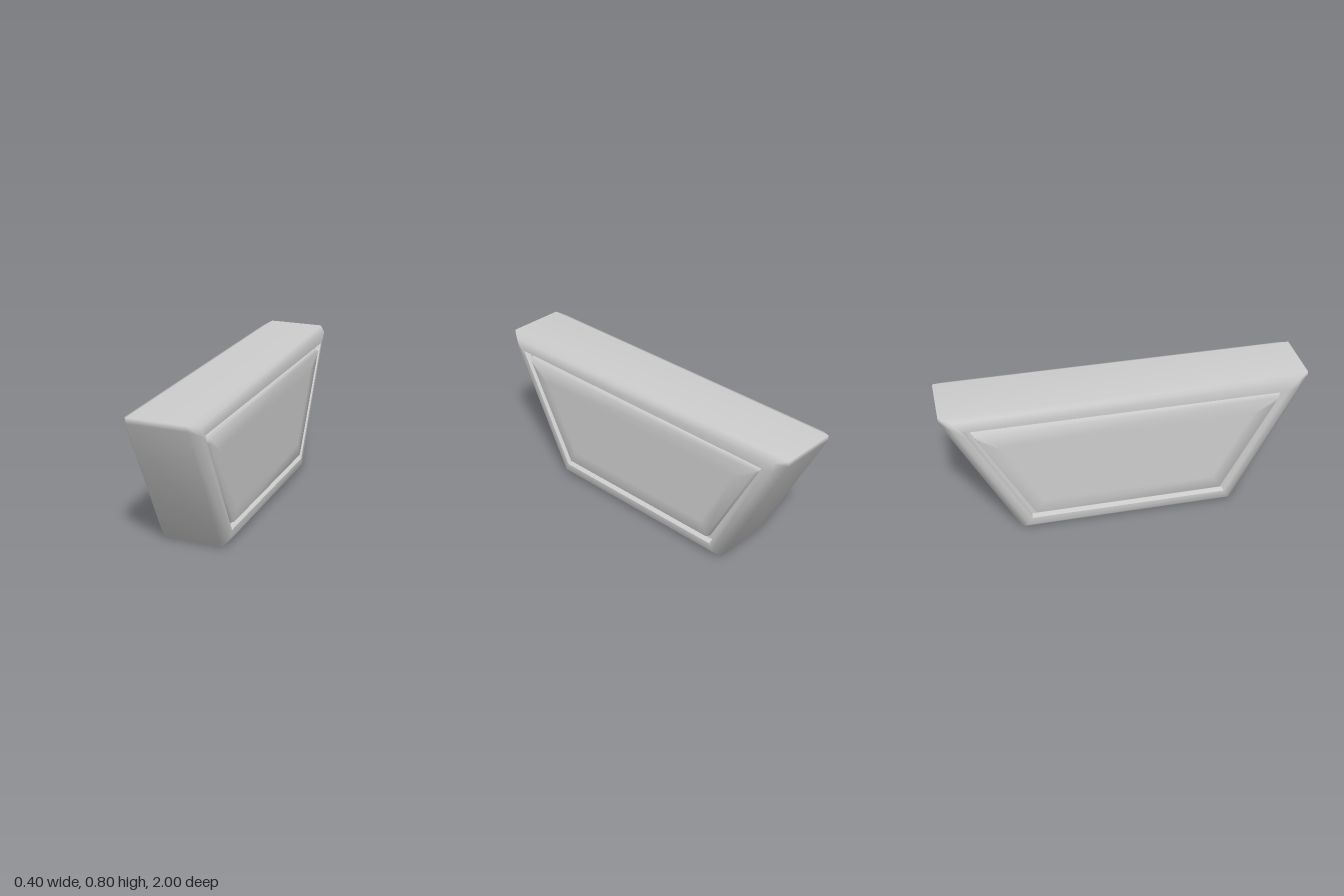
import * as THREE from 'three';

// Six-point cross-section in the y/z plane: top corner, point below it, bottom corner, then mirrored in z
function section(x, half) {
  const mirrored = half.map(([z, y]) => [-z, y]).reverse();
  return [...half, ...mirrored].map(([z, y]) => [x, y, z]);
}

// Symmetric trapezoid; its second point sits just below the top corner on the slanted side
function trapezoid(x, zTop, yTop, zBottom, yBottom) {
  const t = 0.06;
  const mid = [zTop + (zBottom - zTop) * t, yTop + (yBottom - yTop) * t];
  return section(x, [[zTop, yTop], mid, [zBottom, yBottom]]);
}

// Joins sections ordered from -x to +x; cap closes the last (1) or the first (-1)
function loft(name, rings, cap = 0, flat = false) {
  const n = rings[0].length;
  const points = rings.flat();
  const index = [];
  for (let k = 0; k < rings.length - 1; k++) {
    for (let i = 0; i < n; i++) {
      const j = (i + 1) % n;
      const a = k * n, b = a + n;
      index.push(a + i, a + j, b + j, a + i, b + j, b + i);
    }
  }
  if (cap) {
    const start = cap > 0 ? (rings.length - 1) * n : 0;
    for (let i = 1; i < n - 1; i++) {
      if (cap > 0) index.push(start, start + i, start + i + 1);
      else index.push(start, start + i + 1, start + i);
    }
  }
  let geometry = new THREE.BufferGeometry();
  geometry.setAttribute('position', new THREE.Float32BufferAttribute(points.flat(), 3));
  geometry.setIndex(index);
  if (flat) geometry = geometry.toNonIndexed();
  geometry.computeVertexNormals();
  const mesh = new THREE.Mesh(geometry, new THREE.MeshStandardMaterial({ color: 0xcccccc }));
  mesh.name = name;
  return mesh;
}

export function createModel() {
  const group = new THREE.Group();
  group.name = 'trapezoidBlock';

  const face = 0.2, floor = 0.17;
  const grooveEdge = s => trapezoid(s * face, 0.885, 0.72, 0.55, 0.085);
  const floorOuter = s => trapezoid(s * floor, 0.872, 0.712, 0.545, 0.093);
  const floorInner = s => trapezoid(s * floor, 0.845, 0.693, 0.53, 0.112);
  const panelRim = s => trapezoid(s * face, 0.83, 0.685, 0.525, 0.12);
  const panelField = s => trapezoid(s * face, 0.69, 0.59, 0.48, 0.2);

  // Outer body with bevelled edges and a flat frame on both sides
  const frame = s => section(s * face, [[0.94, 0.78], [0.93, 0.73], [0.57, 0.04]]);
  const bevel = s => section(s * 0.16, [[1, 0.8], [1, 0.77], [0.6, 0]]);
  group.add(loft('body', [
    grooveEdge(-1), frame(-1), bevel(-1), bevel(1), frame(1), grooveEdge(1),
  ]));

  // Groove and inset panel on each side
  for (const s of [1, -1]) {
    const side = s > 0 ? 'left' : 'right';
    const order = rings => (s > 0 ? rings : rings.reverse());
    group.add(loft(side + 'Groove', order([grooveEdge(s), floorOuter(s), floorInner(s)]), 0, true));
    group.add(loft(side + 'Panel', order([floorInner(s), panelRim(s), panelField(s)]), s));
  }
  return group;
}
